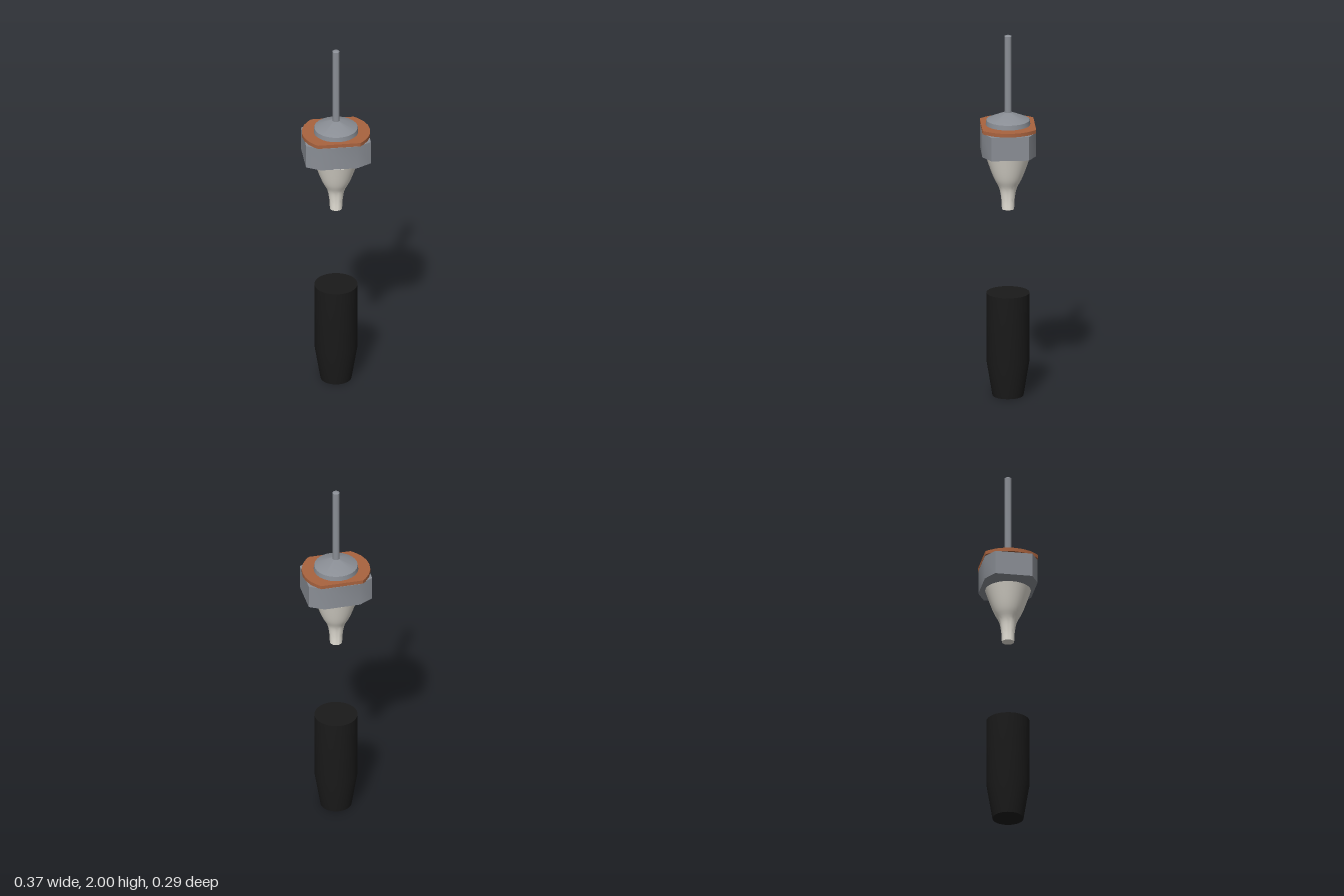
import * as THREE from 'three';
import { toCreasedNormals } from 'three/addons/utils/BufferGeometryUtils.js';

const STEEL = 0x8a8e95, COPPER = 0xa9633f, CREAM = 0xe6e2d8, BLACK = 0x1a1a1a;

export function createModel() {
  const model = new THREE.Group();

  function add(name, geometry, color) {
    const mesh = new THREE.Mesh(
      toCreasedNormals(geometry, 0.55),
      new THREE.MeshStandardMaterial({ color })
    );
    mesh.name = name;
    model.add(mesh);
    return mesh;
  }

  // Turned part from [radius, height] pairs, listed bottom to top
  function turned(name, profile, color, sides) {
    const points = profile.map(([r, y]) => new THREE.Vector2(r, y));
    return add(name, new THREE.LatheGeometry(points, sides), color);
  }

  // Flat plate from an outline in x and z, standing between two heights
  function slab(name, outline, bottom, top, color) {
    const shape = new THREE.Shape(outline.map(([x, z]) => new THREE.Vector2(x, -z)));
    const geometry = new THREE.ExtrudeGeometry(shape, { depth: top - bottom, bevelEnabled: false });
    geometry.rotateX(-Math.PI / 2).translate(0, bottom, 0);
    return add(name, geometry, color);
  }

  // Tapered base sleeve
  turned('baseSleeve', [[0, 0], [0.083, 0], [0.115, 0.195], [0.115, 0.57], [0, 0.57]], BLACK, 32);

  // Funnel with a smooth S-shaped wall
  const wall = new THREE.SplineCurve([
    [0.033, 1.035], [0.036, 1.09], [0.047, 1.15], [0.072, 1.2], [0.092, 1.25], [0.122, 1.337],
  ].map(([r, y]) => new THREE.Vector2(r, y))).getPoints(20).map(p => [p.x, p.y]);
  turned('funnel', [[0, 1.035], ...wall, [0, 1.337]], CREAM, 32);

  // Eight-sided block
  const corners = [[0.174, 0.1], [0.097, 0.143]];
  const block = [
    ...corners,
    ...corners.map(([x, z]) => [-x, z]).reverse(),
    ...corners.map(([x, z]) => [-x, -z]),
    ...corners.map(([x, z]) => [x, -z]).reverse(),
  ];
  slab('block', block.reverse(), 1.352, 1.483, STEEL);

  // Round plate trimmed flat at front and back
  const disc = [];
  for (let i = 0; i < 24; i++) {
    const a = (i / 24) * Math.PI * 2;
    const s = Math.sin(a);
    if (Math.abs(s) * 0.183 < 0.143) disc.push([Math.cos(a) * 0.183, -s * 0.183]);
    // Two trim corners on each flat side
    if (i === 3 || i === 15) {
      const side = Math.sign(s);
      disc.push([side * 0.114, -side * 0.143], [-side * 0.114, -side * 0.143]);
    }
  }
  slab('plate', disc, 1.485, 1.505, COPPER);

  // Cone collar and rod with a slightly domed tip
  turned('collar', [[0, 1.5], [0.12, 1.5], [0.116, 1.53], [0.019, 1.572], [0, 1.572]], STEEL, 24);
  turned('rod', [[0.019, 1.565], [0.019, 1.994], [0.013, 1.998], [0, 2]], STEEL, 16);

  return model;
}
